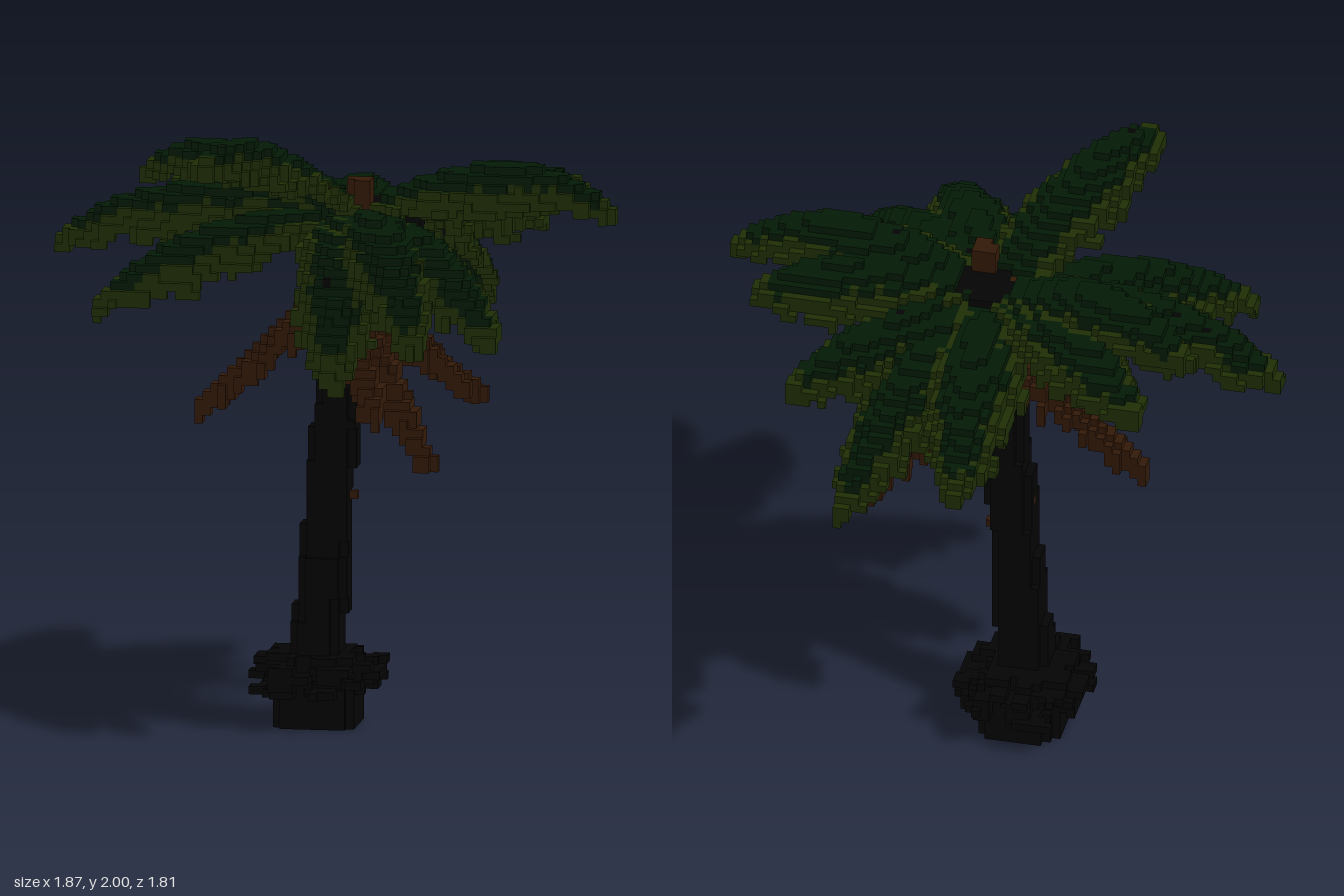
import * as THREE from 'three';

const V = 2 / 75; // edge of one small cube

const MATERIALS = {};
for (const [name, color] of Object.entries({
  darkGreen: 0x031b06, oliveGreen: 0x1f2f05, dryBrown: 0x341a08, barkBlack: 0x040404,
})) {
  MATERIALS[name] = new THREE.MeshStandardMaterial({ color });
  MATERIALS[name].name = name;
}

// Repeatable pseudo-random value from 0 to 1
const hash = (a, b = 0) => {
  const s = Math.sin(a * 127.1 + b * 311.7) * 43758.5453;
  return s - Math.floor(s);
};

const DIRS = [[1, 0, 0], [-1, 0, 0], [0, 1, 0], [0, -1, 0], [0, 0, 1], [0, 0, -1]];

// Living fronds: tip x, tip y, tip z, height halfway along
const FRONDS = [
  [-0.03, 1.50, -0.90, 1.71], [0.38, 1.30, -0.79, 1.65], [0.60, 1.60, -0.55, 1.71],
  [0.80, 1.74, -0.23, 1.81], [0.93, 1.72, 0.06, 1.85], [0.63, 1.39, 0.70, 1.66],
  [0.40, 1.39, 0.89, 1.70], [0.12, 1.25, 0.86, 1.65], [-0.35, 1.94, 0.67, 1.94],
  [-0.72, 1.44, 0.50, 1.67], [-0.94, 1.55, -0.08, 1.75], [-0.67, 1.76, -0.33, 1.85],
  [-0.55, 1.64, -0.53, 1.78],
];

// Dark spots on the fronds, as x, z
const SPOTS = [[-0.02, -0.57], [0.29, -0.22], [0.18, -0.13], [0.38, 0.05], [0.17, 0.19], [0.07, 0.58],
  [-0.27, 0.56], [-0.67, -0.06], [-0.55, -0.03]];

// Hanging dead fronds: tip x, y, z
const DRY = [[0.37, 0.94, 0.41], [-0.46, 1.02, 0.05], [0.43, 1.05, -0.32], [0.2, 1.09, 0.44], [0.45, 1.13, 0.05]];

export function createModel() {
  const cells = new Map();
  const put = (x, y, z, part, color) => {
    const c = [Math.floor(x / V), Math.floor(y / V), Math.floor(z / V)];
    const key = c.join();
    if (c[1] >= 0 && c[1] < 75 && !cells.has(key)) cells.set(key, { c, part, color });
  };

  // Horizontal slice with chamfered corners; the radius may depend on the angle
  const slice = (y, cx, cz, radius, part, color) => {
    for (let i = -12; i <= 12; i++) for (let k = -12; k <= 12; k++) {
      const x = (i + 0.5) * V, z = (k + 0.5) * V;
      const dx = Math.abs(x - cx), dz = Math.abs(z - cz);
      const r = radius(Math.atan2(z - cz, x - cx));
      if (Math.max(dx, dz) < r && dx + dz < r * 1.55) put(x, y, z, part, color);
    }
  };

  // Small brown stubs on the sides of the trunk
  put(0.068, 0.76, 0.04, 'trunkStub', 'dryBrown');
  put(-0.07, 0.87, 0.04, 'trunkStub', 'dryBrown');

  // Leaning trunk
  const lean = new THREE.CatmullRomCurve3([
    new THREE.Vector3(-0.055, 0.2, 0.045), new THREE.Vector3(-0.035, 0.45, 0.045),
    new THREE.Vector3(-0.012, 0.8, 0.045), new THREE.Vector3(0.015, 1.1, 0.04),
    new THREE.Vector3(0.03, 1.7, 0.04),
  ]);
  for (let t = 0; t <= 1; t += 0.005) {
    const p = lean.getPoint(t);
    slice(p.y, p.x, p.z, () => (p.y < 0.55 ? 0.08 : p.y < 1 ? 0.072 : 0.067), 'trunk', 'barkBlack');
  }

  // Root block with a ragged collar
  for (let j = 0; j < 9; j++) {
    const spike = (a) => {
      const h = hash(Math.round(a * 4), j);
      return j < 4 ? 0.14 : 0.1 + (j < 8 ? 0.12 : 0.08) * h;
    };
    slice((j + 0.5) * V, -0.053, 0.03, spike, j < 4 ? 'rootBlock' : 'rootCollar', 'barkBlack');
  }

  // Dark uneven crown heart with brown buds
  slice(1.72, -0.03, 0.05, () => 0.035, 'crownBud', 'dryBrown');
  for (let y = 1.72; y < 1.79; y += V / 2) slice(y, 0.1, 0.085, () => 0.042, 'crownBud', 'dryBrown');
  for (const [cx, cz, r] of [[0.04, 0.03, 0.09], [-0.05, 0.02, 0.06], [0.05, -0.06, 0.06], [0.17, 0.0, 0.07], [0.25, 0.03, 0.045]]) {
    for (let y = 1.66; y < 1.74; y += V / 2) slice(y, cx, cz, () => r, 'crownHeart', 'barkBlack');
  }

  // Arched fronds: dark along the rib, olive drooping edges and tip
  const base = new THREE.Vector3(0.05, 1.69, 0.03);
  FRONDS.forEach(([tx, ty, tz, my], n) => {
    const dx = tx - base.x, dz = tz - base.z, len = Math.hypot(dx, dz);
    const arch = my - (base.y + ty) / 2;
    for (let t = 0.06; t <= 1; t += 0.01) {
      const u = t ** 1.25;
      const y = base.y + (ty - base.y) * t + arch * 4 * u * (1 - u);
      const ragged = 0.8 + 0.36 * hash(Math.floor(t * 30), n);
      const w = (0.13 * Math.min(1, 0.45 + 1.4 * t) * (1 - t ** 4) + 0.014) * ragged;
      for (let s = -w; s <= w; s += 0.009) {
        const f = Math.abs(s) / w;
        const x = base.x + dx * t - (dz / len) * s, z = base.z + dz * t + (dx / len) * s;
        const spot = SPOTS.some(([a, b]) => Math.hypot(x - a, z - b) < 0.015);
        const color = spot ? 'barkBlack' : f < 0.64 && t < 0.93 ? 'darkGreen' : 'oliveGreen';
        const drop = w * f * f * Math.min(1, 0.15 + 1.4 * t);
        put(x, y - drop, z, 'frond' + (n + 1), color);
        if (f < 0.75) put(x, y - drop - V, z, 'frond' + (n + 1), f < 0.5 ? color : 'oliveGreen');
      }
    }
  });

  // Dry fronds hanging below the crown, narrowing to the tip
  DRY.forEach(([tx, ty, tz], n) => {
    const dx = tx - 0.03, dz = tz - 0.04, len = Math.hypot(dx, dz);
    for (let t = 0.04; t <= 1; t += 0.015) {
      const y = 1.51 + (ty - 1.51) * t;
      const w = (0.085 * Math.min(1, 0.4 + 3 * t) * (1 - t) + 0.01) * (0.5 + 0.9 * hash(Math.floor(t * 22), n + 40));
      for (let s = -w; s <= w; s += 0.01) {
        const x = 0.03 + dx * t - (dz / len) * s, z = 0.04 + dz * t + (dx / len) * s;
        const drop = 0.9 * Math.abs(s);
        put(x, y - drop, z, 'dryFrond' + (n + 1), 'dryBrown');
        put(x, y - drop - V, z, 'dryFrond' + (n + 1), 'dryBrown');
      }
    }
  });

  // Exposed cube faces, gathered by part and colour
  const buckets = new Map();
  for (const { c, part, color } of cells.values()) {
    const id = part + '|' + color;
    if (!buckets.has(id)) buckets.set(id, { part, color, pos: [], nor: [] });
    const { pos, nor } = buckets.get(id);
    for (const d of DIRS) {
      if (cells.has(c.map((v, i) => v + d[i]).join())) continue;
      const a = d.findIndex((v) => v !== 0), u = (a + 1) % 3, v = (a + 2) % 3;
      const ring = [[-1, -1], [1, -1], [1, 1], [-1, 1]];
      const order = d[a] > 0 ? [0, 1, 2, 0, 2, 3] : [0, 2, 1, 0, 3, 2];
      for (const q of order) {
        const p = c.map((m) => m + 0.5);
        p[a] += d[a] / 2;
        p[u] += ring[q][0] / 2;
        p[v] += ring[q][1] / 2;
        pos.push(p[0] * V, p[1] * V, p[2] * V);
        nor.push(...d);
      }
    }
  }

  const group = new THREE.Group();
  group.name = 'palmTree';
  const parts = {};
  for (const { part, color, pos, nor } of buckets.values()) {
    if (!pos.length) continue;
    const geo = new THREE.BufferGeometry();
    geo.setAttribute('position', new THREE.Float32BufferAttribute(pos, 3));
    geo.setAttribute('normal', new THREE.Float32BufferAttribute(nor, 3));
    const mesh = new THREE.Mesh(geo, MATERIALS[color]);
    mesh.name = part + '_' + color;
    if (!parts[part]) {
      parts[part] = new THREE.Group();
      parts[part].name = part;
      group.add(parts[part]);
    }
    parts[part].add(mesh);
  }
  return group;
}
